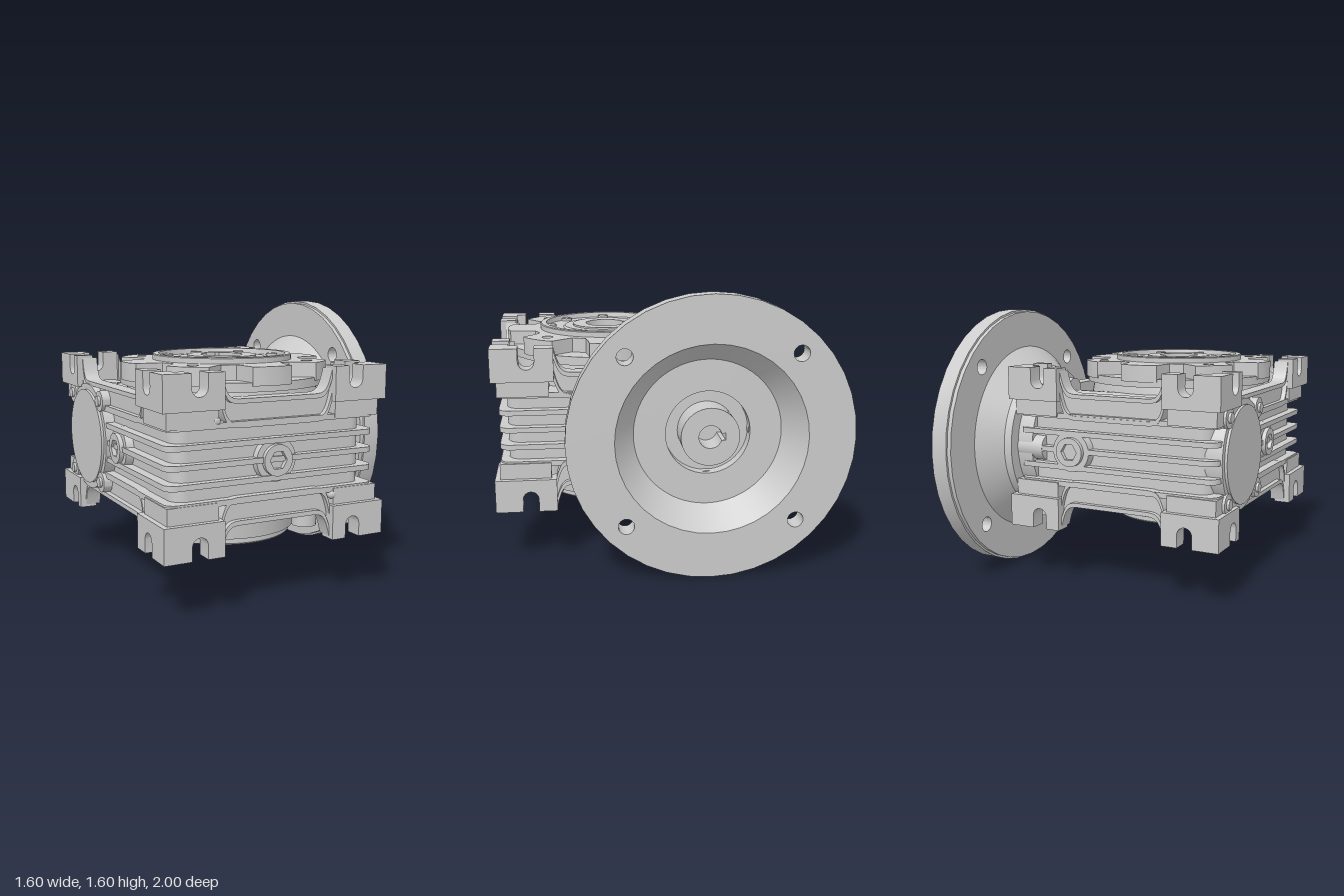
import * as THREE from 'three';
import { toCreasedNormals } from 'three/addons/utils/BufferGeometryUtils.js';

const material = new THREE.MeshStandardMaterial({ color: 0xcccccc, side: THREE.DoubleSide });
const OUT = { x: -0.135, z: 0.33 };   // vertical output axis
const WORM = { y: 0.8, z: -0.2 };     // horizontal input axis
const MID = 0.805;                    // mirror height of the housing
const V = (pts) => pts.map(([x, y]) => new THREE.Vector2(x, y));

export function createModel() {
  const root = new THREE.Group();

  const add = (name, geo, x = 0, y = 0, z = 0) => {
    const mesh = new THREE.Mesh(toCreasedNormals(geo, 0.5), material);
    mesh.name = name;
    mesh.position.set(x, y, z);
    root.add(mesh);
    return mesh;
  };
  const extrude = (shape, depth) =>
    new THREE.ExtrudeGeometry(shape, { depth, bevelEnabled: false, curveSegments: 20 });
  const upright = (shape, depth) => extrude(shape, depth).rotateX(-Math.PI / 2);  // along +y, shape y = -z
  const sideways = (shape, depth) => extrude(shape, depth).rotateY(Math.PI / 2);  // along +x, shape x = -z
  const box = (name, x0, x1, y0, y1, z0, z1) =>
    add(name, new THREE.BoxGeometry(x1 - x0, y1 - y0, z1 - z0), (x0 + x1) / 2, (y0 + y1) / 2, (z0 + z1) / 2);
  const rodX = (name, r, x0, x1, y, z) =>
    add(name, new THREE.CylinderGeometry(r, r, x1 - x0, 40).rotateZ(-Math.PI / 2), (x0 + x1) / 2, y, z);
  const rodY = (name, r, y0, y1, x, z) =>
    add(name, new THREE.CylinderGeometry(r, r, y1 - y0, 28), x, (y0 + y1) / 2, z);
  const circle = (r, x = 0, y = 0) => new THREE.Shape().absarc(x, y, r, 0, Math.PI * 2, false);

  // Round bore with a keyway; dir is the angle of the keyway
  const keyedHole = (r, w, d, dir) => {
    const a = Math.asin(w / r), pts = [];
    for (let i = 0; i <= 40; i++) {
      const t = dir + a + (i / 40) * (Math.PI * 2 - 2 * a);
      pts.push([r * Math.cos(t), r * Math.sin(t)]);
    }
    for (const s of [-1, 1])
      pts.push([Math.cos(dir) * d - Math.sin(dir) * w * s, Math.sin(dir) * d + Math.cos(dir) * w * s]);
    return new THREE.Path(V(pts));
  };

  // Rounded rectangle in plan
  const plan = (x0, x1, z0, z1, r) => {
    const s = new THREE.Shape();
    s.absarc(x1 - r, -z0 - r, r, 0, Math.PI / 2);
    s.absarc(x0 + r, -z0 - r, r, Math.PI / 2, Math.PI);
    s.absarc(x0 + r, -z1 + r, r, Math.PI, Math.PI * 1.5);
    s.absarc(x1 - r, -z1 + r, r, Math.PI * 1.5, Math.PI * 2);
    return s;
  };
  const withOutputHole = (s, r) => {
    s.holes.push(circle(r, OUT.x, -OUT.z));
    return s;
  };

  // Housing core and cooling fins
  add('housingCore', upright(withOutputHole(plan(-0.71, 0.44, -0.53, 0.92, 0.08), 0.45), 0.4), 0, 0.605);
  for (let i = 0; i < 5; i++)
    add('coolingFin', upright(withOutputHole(plan(-0.765, 0.49, -0.58, 0.965, 0.06), 0.5), 0.03), 0, 0.59 + i * 0.1);

  // Wall bands: slotted corner feet joined by a lower arched web.
  // place() turns a drawn outline (u, height) into a wall, inset from the outer face.
  const band = (u0, e0, e1, u1, slots, side, place) => {
    const Y = (v) => MID + side * (v - MID);
    const foot = (a, b, s) => {
      const pts = [[a, 1.09], [a, 1.28], [s - 0.045, 1.28]];
      for (let i = 0; i <= 8; i++) {
        const t = Math.PI + (i / 8) * Math.PI;
        pts.push([s + 0.045 * Math.cos(t), 1.205 + 0.045 * Math.sin(t)]);
      }
      pts.push([s + 0.045, 1.28], [b, 1.28], [b, 1.09]);
      place('cornerFoot', new THREE.Shape(V(pts.map(([x, y]) => [x, Y(y)]))), 0, 0.1);
    };
    foot(u0, e0, slots[0]);
    foot(e1, u1, slots[1]);
    const web = (low, high, depthIn, thick) => {
      const w = new THREE.Shape();
      w.moveTo(e0, Y(high + 0.13));
      w.bezierCurveTo(e0 + 0.03, Y(high), e0 + 0.05, Y(high), e0 + 0.13, Y(high));
      w.lineTo(e1 - 0.13, Y(high));
      w.bezierCurveTo(e1 - 0.05, Y(high), e1 - 0.03, Y(high), e1, Y(high + 0.13));
      w.lineTo(e1, Y(low + 0.1));
      w.bezierCurveTo(e1 - 0.03, Y(low), e1 - 0.05, Y(low), e1 - 0.13, Y(low));
      w.lineTo(e0 + 0.13, Y(low));
      w.bezierCurveTo(e0 + 0.05, Y(low), e0 + 0.03, Y(low), e0, Y(low + 0.1));
      place('archedWeb', w, depthIn, thick);
    };
    web(0.99, 1.13, 0.065, 0.06);
    web(1.11, 1.135, 0.035, 0.09);   // upper lip
    web(0.985, 1.01, 0.035, 0.09);   // lower lip
  };
  for (const side of [1, -1]) {
    band(-0.8, -0.46, 0.2, 0.53, [-0.6, 0.33], side, (n, s, inset, t) => add(n, extrude(s, t), 0, 0, 1 - inset - t));
    band(-0.8, -0.46, 0.2, 0.53, [-0.6, 0.33], side, (n, s, inset, t) => add(n, extrude(s, t), 0, 0, -0.62 + inset));
    const zs = [-1, -0.65, 0.3, 0.62], slots = [-0.8, 0.4];
    band(...zs, slots, side, (n, s, inset, t) => add(n, sideways(s, t), 0.53 - inset - t));
    band(...zs, slots, side, (n, s, inset, t) => add(n, sideways(s, t), -0.8 + inset));

    // Floors behind the feet and ribs over the worm housing
    const y = (v) => MID + side * (v - MID);
    const span = (a, b) => [Math.min(y(a), y(b)), Math.max(y(a), y(b))];
    for (const [x0, x1] of [[-0.77, -0.48], [0.22, 0.5]])
      for (const [z0, z1] of [[-0.59, -0.32], [0.68, 0.97]])
        box('footFloor', x0, x1, ...span(1.0, 1.1), z0, z1);
    for (let i = 0; i < 5; i++) {
      const x = -0.38 + i * 0.122;
      box('wormRib', x - 0.012, x + 0.012, ...span(0.95, 1.09), -0.53, -0.32);
    }
  }

  // Gear drum around the output axis
  add('gearDrum', new THREE.LatheGeometry(V([
    [0.19, 0.31], [0.25, 0.31], [0.25, 0.295], [0.36, 0.295], [0.36, 0.285], [0.39, 0.285], [0.4, 0.295],
    [0.4, 0.325], [0.42, 0.325], [0.43, 0.42], [0.55, 0.56], [0.57, 0.65], [0.57, 1.0], [0.54, 1.17], [0.19, 1.17],
  ]), 72), OUT.x, 0, OUT.z);
  for (let i = 0; i < 4; i++) {
    const a = Math.PI / 4 + i * Math.PI / 2;
    const x = OUT.x + 0.5 * Math.cos(a), z = OUT.z + 0.5 * Math.sin(a);
    rodY('lowerLug', 0.07, 0.34, 0.62, x, z);
    rodY('lowerLugBolt', 0.035, 0.33, 0.4, x, z);
  }

  // Top cover: plate below, eight raised tabs between flared pockets
  const ring = (r, hole) => {
    const s = circle(r);
    s.holes.push(circle(hole));
    return s;
  };
  add('coverPlate', upright(ring(0.585, 0.19), 0.05), OUT.x, 1.155, OUT.z);
  const tabs = [];
  for (let i = 0; i < 8; i++) {
    const c = i * Math.PI / 4;
    for (const [r, a] of [[0.45, -0.3], [0.53, -0.23], [0.59, -0.2], [0.6, -0.1], [0.6, 0],
      [0.6, 0.1], [0.59, 0.2], [0.53, 0.23], [0.45, 0.3]])
      tabs.push([r * Math.cos(c + a), r * Math.sin(c + a)]);
  }
  const tabShape = new THREE.Shape(V(tabs));
  tabShape.holes.push(circle(0.3));
  for (let i = 0; i < 4; i++) {
    const a = Math.PI / 4 + i * Math.PI / 2;
    tabShape.holes.push(circle(0.032, 0.5 * Math.cos(a), 0.5 * Math.sin(a)));
  }
  add('coverTabs', upright(tabShape, 0.1), OUT.x, 1.187, OUT.z);
  add('coverRings', new THREE.LatheGeometry(V([
    [0.19, 1.17], [0.19, 1.3], [0.25, 1.3], [0.26, 1.29], [0.36, 1.29], [0.365, 1.32], [0.395, 1.32], [0.4, 1.315], [0.4, 1.2],
  ]), 72), OUT.x, 0, OUT.z);
  for (let i = 0; i < 8; i++) {
    const a = i * Math.PI / 4;
    rodY('coverScrew', 0.032, 1.27, 1.305, OUT.x + 0.335 * Math.cos(a), OUT.z + 0.335 * Math.sin(a));
  }

  // Hollow output hub with keyway
  const hub = circle(0.2);
  hub.holes.push(keyedHole(0.12, 0.04, 0.165, Math.PI / 2));
  add('outputHub', upright(hub, 1.02), OUT.x, 0.29, OUT.z);

  // Worm housing: two stubs clear of the output bore
  rodX('wormHousing', 0.31, -0.72, 0.5, WORM.y, WORM.z);
  rodX('wormInputCollar', 0.38, 0.4, 0.56, WORM.y, WORM.z);
  rodX('wormEndBoss', 0.32, -0.775, -0.6, WORM.y, WORM.z);
  rodX('wormEndCap', 0.285, -0.79, -0.7, WORM.y, WORM.z);
  for (let i = 0; i < 4; i++) {
    const a = i * Math.PI / 2, d = a + Math.PI / 4;
    rodX('inputLug', 0.075, 0.33, 0.6, WORM.y + 0.31 * Math.sin(a), WORM.z + 0.31 * Math.cos(a));
    const y = WORM.y + 0.34 * Math.sin(d), z = WORM.z + 0.34 * Math.cos(d);
    rodX('endCapLug', 0.06, -0.785, -0.6, y, z);
    rodX('endCapBolt', 0.03, -0.8, -0.7, y, z);
  }

  // Input flange: drilled rim and dished bell
  for (const [r, x, t] of [[0.8, 0.7, 0.1], [0.788, 0.675, 0.025]]) {
    const rim = ring(r, 0.535);
    for (const u of [-1, 1]) for (const v of [-1, 1]) rim.holes.push(circle(0.045, u * 0.475, v * 0.475));
    add('flangeRim', sideways(rim, t), x, WORM.y, WORM.z);
  }
  add('flangeBell', new THREE.LatheGeometry(V([
    [0.24, 0.5], [0.45, 0.5], [0.45, 0.55], [0.575, 0.68], [0.575, 0.79], [0.535, 0.8], [0.42, 0.63], [0.24, 0.63], [0.24, 0.5],
  ]), 80).rotateZ(-Math.PI / 2), 0, WORM.y, WORM.z);
  const shaft = circle(0.165);
  shaft.holes.push(keyedHole(0.065, 0.02, 0.085, 0));
  add('inputShaft', sideways(shaft, 0.22), 0.5, WORM.y, WORM.z);

  // Threaded plugs with hex sockets on three sides
  const plug = (x, y, z, turn) => {
    const face = circle(0.085);
    face.holes.push(new THREE.Path(V(Array.from({ length: 6 }, (_, i) =>
      [0.052 * Math.cos(i * Math.PI / 3), 0.052 * Math.sin(i * Math.PI / 3)]))));
    add('plugBoss', new THREE.CylinderGeometry(0.118, 0.13, 0.1, 40).rotateX(Math.PI / 2).translate(0, 0, -0.06), x, y, z).rotation.y = turn;
    add('plugHead', extrude(face, 0.03).translate(0, 0, -0.015), x, y, z).rotation.y = turn;
  };
  plug(-0.135, 0.8, 0.965, 0);
  plug(0.135, 0.8, -0.59, Math.PI);
  plug(-0.765, 0.8, 0.27, -Math.PI / 2);

  // Small locating pins on the front
  for (const [x, y] of [[-0.49, 1.03], [0.22, 0.575]])
    add('locatingPin', new THREE.SphereGeometry(0.026, 16, 12), x, y, 0.95);

  return root;
}
